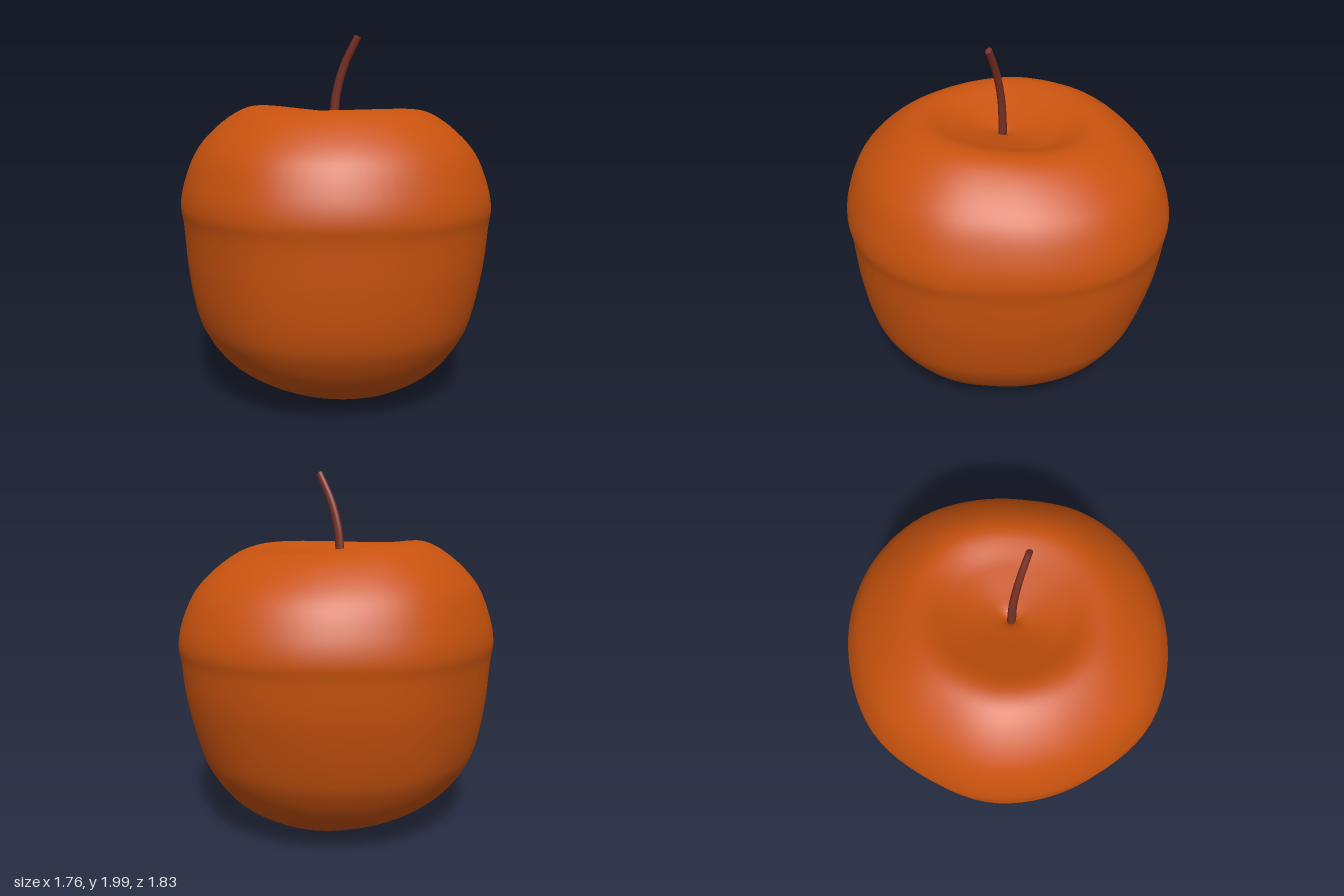
import * as THREE from 'three';

// Fruit profile as radius and height, from the top hollow to the bottom hollow
const PROFILE = [
  [0, 1.46], [0.05, 1.49], [0.15, 1.515], [0.29, 1.55], [0.46, 1.594], [0.59, 1.553], [0.79, 1.38],
  [0.875, 1.2], [0.9, 1.07], [0.888, 0.98], [0.865, 0.75], [0.815, 0.5], [0.77, 0.38],
  [0.648, 0.21], [0.48, 0.093], [0.31, 0.026], [0.18, 0.053], [0.08, 0.1], [0.03, 0.09], [0, 0.06],
];

// Widest radius of the uneven plan, every 22.5 degrees from +x toward +z
const OUTLINE = [0.875, 0.889, 0.89, 0.9, 0.912, 0.89, 0.885, 0.895, 0.888, 0.907, 0.9, 0.91, 0.917, 0.905, 0.865, 0.845];

// Smooth periodic interpolation of the plan
function outlineRadius(angle) {
  const n = OUTLINE.length, u = angle / (Math.PI * 2) * n, i = Math.floor(u), t = u - i;
  const [p, q, r, s] = [-1, 0, 1, 2].map(k => OUTLINE[(i + k + n) % n]);
  return q + 0.5 * t * (r - p + t * (2 * p - 5 * q + 4 * r - s + t * (3 * (q - r) + s - p)));
}

// Revolve the profile around the plan, tilting both rims and leaning the base forward
function fruitGeometry(columns = 80, steps = 114) {
  const curve = new THREE.CatmullRomCurve3(PROFILE.map(([r, y]) => new THREE.Vector3(r, y, 0)));
  const { smoothstep } = THREE.MathUtils;
  const positions = [], index = [];
  for (let i = 0; i <= steps; i++) {
    const { x: r, y } = curve.getPoint(i / steps);
    const spread = Math.min(1, r / 0.3);
    const top = smoothstep(y, 1, 1.6) * spread;
    const bottom = (1 - smoothstep(y, 0, 0.3)) * spread;
    const lean = 0.025 * (1 - smoothstep(y, 0.4, 0.95)) * spread;
    const shift = Math.max(0, 1 - r / 0.4); // hollows sit slightly off centre
    for (let j = 0; j < columns; j++) {
      const a = j / columns * Math.PI * 2, c = Math.cos(a), s = Math.sin(a);
      const radius = r * outlineRadius(a) / 0.9;
      const lift = top * (0.016 * s - 0.01 * c + 0.015 * Math.cos(2 * a)) + bottom * (0.0125 * s - 0.015 * c);
      positions.push(radius * c - 0.02 * shift, y + lift, radius * s + 0.03 * shift + lean);
      if (i < steps) {
        const A = i * columns + j, B = i * columns + (j + 1) % columns;
        index.push(A, B, A + columns, B, B + columns, A + columns);
      }
    }
  }
  const geometry = new THREE.BufferGeometry();
  geometry.setAttribute('position', new THREE.Float32BufferAttribute(positions, 3));
  geometry.setIndex(index);
  geometry.computeVertexNormals();
  return geometry;
}

export function createModel() {
  const skin = new THREE.MeshStandardMaterial({ color: 0xc8520e });
  skin.name = 'orange skin';
  const bark = new THREE.MeshStandardMaterial({ color: 0x7a3024 });
  bark.name = 'brown stem';

  const model = new THREE.Group();
  model.name = 'apple';
  const fruit = new THREE.Mesh(fruitGeometry(), skin);
  fruit.name = 'fruit';
  model.add(fruit);

  // Curved stem, tapering upward and slightly flattened in depth
  const path = new THREE.CatmullRomCurve3([[-0.02, 1.4], [-0.012, 1.6], [0.003, 1.7], [0.05, 1.84], [0.132, 1.99]]
    .map(([x, y]) => new THREE.Vector3(x, y, 0)));
  const segments = 24, sides = 14, radius = 0.025;
  const tube = new THREE.TubeGeometry(path, segments, radius, sides);
  const pos = tube.attributes.position, v = new THREE.Vector3();
  for (let i = 0; i < pos.count; i++) {
    const t = Math.floor(i / (sides + 1)) / segments, c = path.getPointAt(t);
    v.fromBufferAttribute(pos, i).sub(c).multiplyScalar(1.2 - 0.35 * t).add(c);
    pos.setXYZ(i, v.x, v.y, v.z);
  }
  const stem = new THREE.Group();
  stem.name = 'stem';
  const stalk = new THREE.Mesh(tube, bark);
  stalk.name = 'stalk';
  const tip = new THREE.Mesh(new THREE.CircleGeometry(radius * 0.85, sides), bark);
  tip.name = 'stemTip';
  tip.position.copy(path.getPointAt(1));
  tip.quaternion.setFromUnitVectors(new THREE.Vector3(0, 0, 1), path.getTangentAt(1));
  stem.add(stalk, tip);
  stem.scale.z = 0.75;
  stem.position.z = 0.03;
  model.add(stem);
  return model;
}
